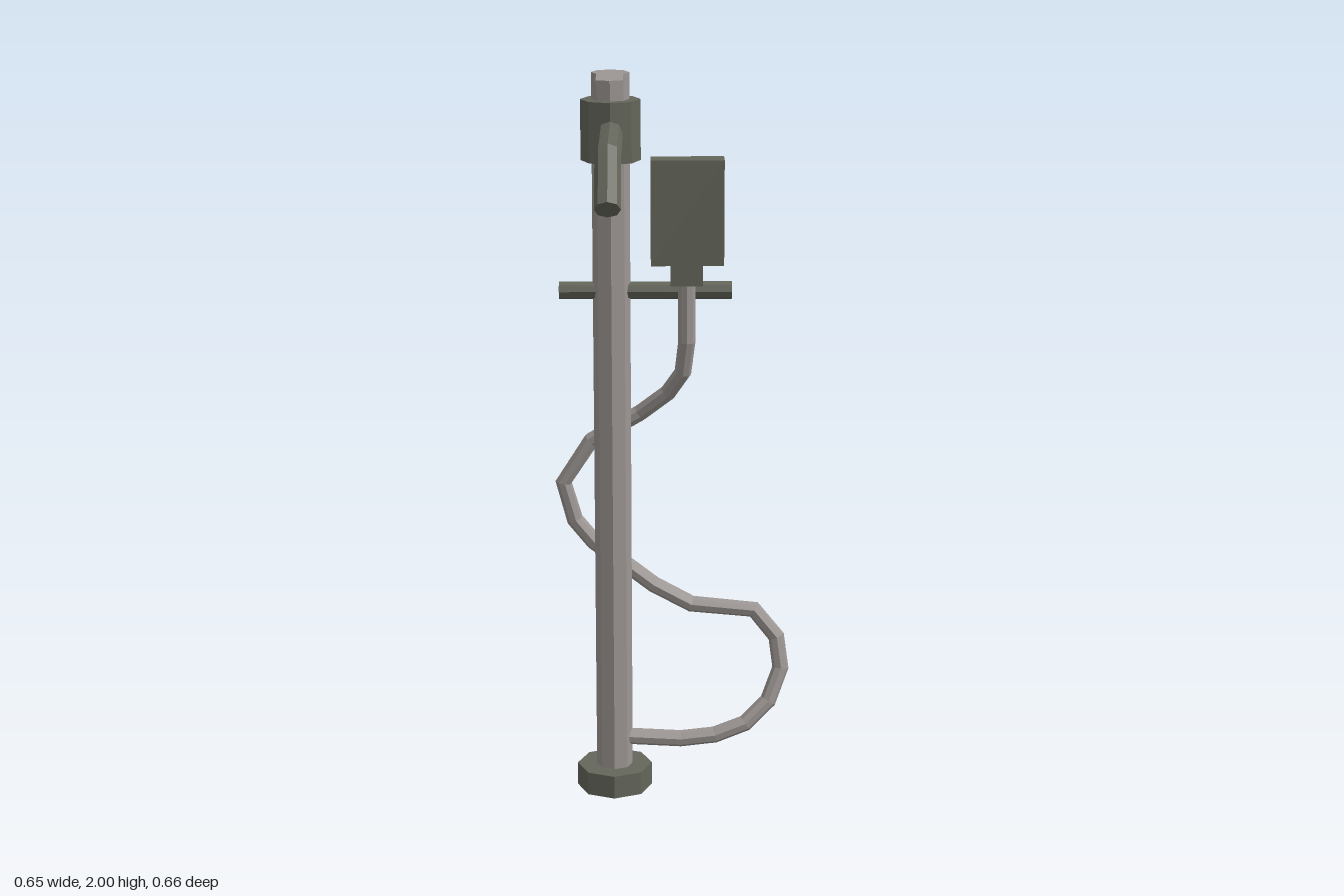
import * as THREE from 'three';

const POST_X = -0.165, POST_Z = -0.218;

// Curve that samples a polyline exactly at its corners
class Polyline extends THREE.Curve {
  constructor(points) {
    super();
    this.points = points.map((p) => new THREE.Vector3(...p));
  }
  getUtoTmapping(u) { return u; }
  getPoint(t, target = new THREE.Vector3()) {
    const f = t * (this.points.length - 1);
    const i = Math.min(Math.floor(f + 1e-6), this.points.length - 2);
    return target.lerpVectors(this.points[i], this.points[i + 1], f - i);
  }
  getTangent(t, target = new THREE.Vector3()) {
    const n = this.points.length - 1, i = Math.round(t * n);
    target.set(0, 0, 0);
    if (i > 0) target.add(this.points[i].clone().sub(this.points[i - 1]).normalize());
    if (i < n) target.add(this.points[i + 1].clone().sub(this.points[i]).normalize());
    return target.normalize();
  }
}

// Faceted look through unshared vertices
function faceted(geometry) {
  const flat = geometry.index ? geometry.toNonIndexed() : geometry;
  flat.computeVertexNormals();
  return flat;
}

export function createModel() {
  const model = new THREE.Group();
  const steel = new THREE.MeshStandardMaterial({ color: 0x9c9693 });
  steel.name = 'brushed steel';
  const dark = new THREE.MeshStandardMaterial({ color: 0x64665b });
  dark.name = 'dark metal';

  function add(name, geometry, material, x = 0, y = 0, z = 0) {
    const mesh = new THREE.Mesh(faceted(geometry), material);
    mesh.name = name;
    mesh.position.set(x, y, z);
    model.add(mesh);
    return mesh;
  }
  const rod = (r, h) => new THREE.CylinderGeometry(r, r, h, 8);
  const pipe = (points, r) =>
    new THREE.TubeGeometry(new Polyline(points), points.length - 1, r, 8, false);

  // Base nut, hollow underneath
  const baseProfile = [[0, 0.058], [0.098, 0.058], [0.098, 0], [0.104, 0], [0.104, 0.065], [0, 0.065]]
    .map(([r, y]) => new THREE.Vector2(r, y));
  add('base', new THREE.LatheGeometry(baseProfile, 8), dark, POST_X, 0, POST_Z);

  // Post and collar
  add('post', rod(0.05, 1.98), steel, POST_X, 1.01, POST_Z);
  add('collar', rod(0.079, 0.16), dark, POST_X, 1.85, POST_Z);

  // Flat lever drawn forward from the top of the post
  const lever = new THREE.Shape([[-0.035, 0], [-0.035, -0.163], [0, -0.177], [0.035, -0.163], [0.035, 0]]
    .map(([x, y]) => new THREE.Vector2(x, y)));
  const leverGeometry = new THREE.ExtrudeGeometry(lever, { depth: 0.008, bevelEnabled: false });
  leverGeometry.rotateX(-Math.PI / 2);
  add('lever', leverGeometry, steel, POST_X, 1.9925, POST_Z);

  // Bent spout with a closed end
  const spoutPath = [[POST_X, 1.85, -0.2], [POST_X, 1.85, 0.19], [POST_X, 1.735, 0.305]];
  add('spout', pipe(spoutPath, 0.033), dark);
  const spoutEnd = add('spoutEnd', new THREE.CircleGeometry(0.033, 8), dark, ...spoutPath[2]);
  spoutEnd.rotation.x = Math.PI / 4;

  // Cross bar
  const bar = add('crossBar', rod(0.024, 0.46), dark, -0.075, 1.42, -0.222);
  bar.rotation.z = Math.PI / 2;

  // Hand shower
  add('showerHead', new THREE.BoxGeometry(0.193, 0.28, 0.065), dark, 0.036, 1.64, -0.182);
  add('showerNeck', new THREE.BoxGeometry(0.085, 0.055, 0.065), dark, 0.034, 1.4725, -0.182);

  // Hose looping behind the post down to its foot
  const hosePath = [
    [0.035, 1.46, -0.18], [0.035, 1.29, -0.18], [0.025, 1.2, -0.205], [-0.015, 1.135, -0.235],
    [-0.09, 1.07, -0.268], [-0.225, 0.985, -0.292], [-0.302, 0.865, -0.298], [-0.272, 0.755, -0.302],
    [-0.22, 0.69, -0.304], [-0.12, 0.615, -0.304], [-0.055, 0.565, -0.302], [0.05, 0.508, -0.3],
    [0.225, 0.492, -0.295], [0.288, 0.415, -0.287], [0.3, 0.328, -0.272], [0.265, 0.238, -0.248],
    [0.2, 0.178, -0.228], [0.115, 0.147, -0.22], [0.02, 0.137, -0.218], [POST_X, 0.147, POST_Z],
  ];
  add('hose', pipe(hosePath, 0.023), steel);

  return model;
}
